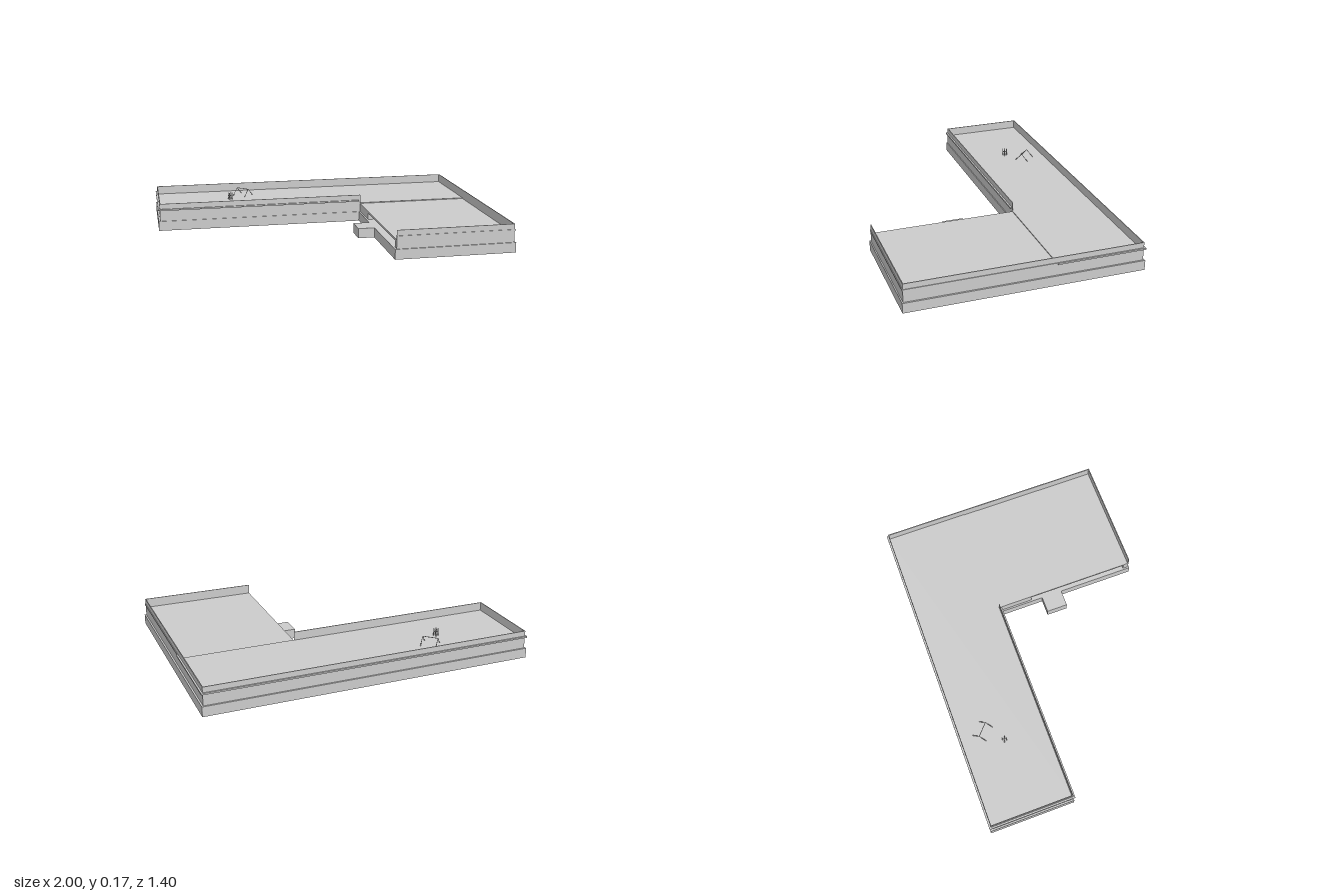
import * as THREE from 'three';

export function createModel() {
  const model = new THREE.Group();
  const mat = new THREE.MeshStandardMaterial({ color: 0xcccccc, side: THREE.DoubleSide, flatShading: true });

  // Box given by its two extreme corners
  const box = (name, x0, x1, y0, y1, z0, z1) => {
    const m = new THREE.Mesh(new THREE.BoxGeometry(x1 - x0, y1 - y0, z1 - z0), mat);
    m.name = name;
    m.position.set((x0 + x1) / 2, (y0 + y1) / 2, (z0 + z1) / 2);
    model.add(m);
  };
  // Thin bar between two points
  const bar = (group, a, b, r) => {
    const p = new THREE.Vector3(...a), q = new THREE.Vector3(...b);
    const m = new THREE.Mesh(new THREE.CylinderGeometry(r, r, p.distanceTo(q), 6), mat);
    m.position.copy(p).lerp(q, 0.5);
    m.quaternion.setFromUnitVectors(new THREE.Vector3(0, 1, 0), q.sub(p).normalize());
    group.add(m);
  };

  const baseTop = 0.06, top = 0.17, backRoof = 0.118, sideRoof = 0.113, t = 0.005;
  const seam = -0.175;

  // Plinth of both wings and the entrance block
  box('backPlinth', -1, 1, 0, baseTop, -0.7, seam);
  box('sidePlinth', 0.28, 1, 0, baseTop, seam, 0.7);
  box('entranceBlock', 0.18, 0.29, 0, baseTop, 0.1, 0.23);

  // Upper storeys, with a long recess in the courtyard wall
  box('backStorey', -0.99, 0.99, baseTop, backRoof, -0.69, seam - 0.005);
  box('sideStorey', 0.33, 0.99, baseTop, sideRoof, seam - 0.005, 0.693);
  box('courtyardWallRear', 0.29, 0.33, baseTop, sideRoof, seam - 0.005, 0.03);
  box('courtyardWallFront', 0.29, 0.33, baseTop, sideRoof, 0.66, 0.693);
  box('courtyardLintel', 0.29, 0.33, sideRoof - 0.012, sideRoof, 0.03, 0.66);

  // Parapets; the courtyard edge of the side wing stays open
  box('rearParapet', -0.99, 0.99, backRoof, top, -0.69, -0.69 + t);
  box('rightParapet', -0.99, -0.99 + t, backRoof, top, -0.69, seam - 0.005);
  box('leftParapet', 0.99 - t, 0.99, sideRoof, top, -0.69, 0.693);
  box('backWingFrontParapet', -0.99, 0.29, backRoof, top, seam - 0.005 - t, seam - 0.005);
  box('sideWingFrontParapet', 0.29, 0.99, sideRoof, top, 0.693 - t, 0.693);

  // Narrow ledges around the outside
  const y0 = 0.128, y1 = 0.137;
  box('rearLedge', -1, 1, y0, y1, -0.7, -0.69);
  box('rightLedge', -1, -0.99, y0, y1, -0.7, -0.17);
  box('leftLedge', 0.99, 1, y0, y1, -0.7, -0.17);
  box('backWingFrontLedge', -1, 0.28, y0, y1, seam - 0.005, -0.17);
  box('sideWingLeftLedge', 0.99, 0.994, y0, y1, -0.17, 0.696);
  box('sideWingFrontLedge', 0.29, 0.994, y0, y1, 0.693, 0.697);

  // A-frame on the roof: two leg triangles joined by a ridge
  const frame = new THREE.Group();
  frame.name = 'roofFrame';
  frame.position.set(-0.43, backRoof, -0.545);
  frame.rotation.y = -Math.PI * 0.24;
  const h = 0.045, s = 0.046, w = 0.044;
  for (const x of [-s, s]) {
    bar(frame, [x, 0, -w], [x, h, 0], 0.002);
    bar(frame, [x, 0, w], [x, h, 0], 0.002);
  }
  bar(frame, [-s, h, 0], [s, h, 0], 0.002);
  model.add(frame);

  // Cluster of short posts beside it
  const posts = new THREE.Group();
  posts.name = 'roofPosts';
  posts.position.set(-0.525, backRoof, -0.44);
  for (let i = 0; i < 4; i++) {
    const a = i * Math.PI / 2 + 0.4, x = 0.013 * Math.cos(a), z = 0.013 * Math.sin(a);
    bar(posts, [x, 0, z], [x, 0.045, z], 0.003);
    bar(posts, [x, 0.025, z], [0, 0.025, 0], 0.002);
  }
  model.add(posts);

  return model;
}
